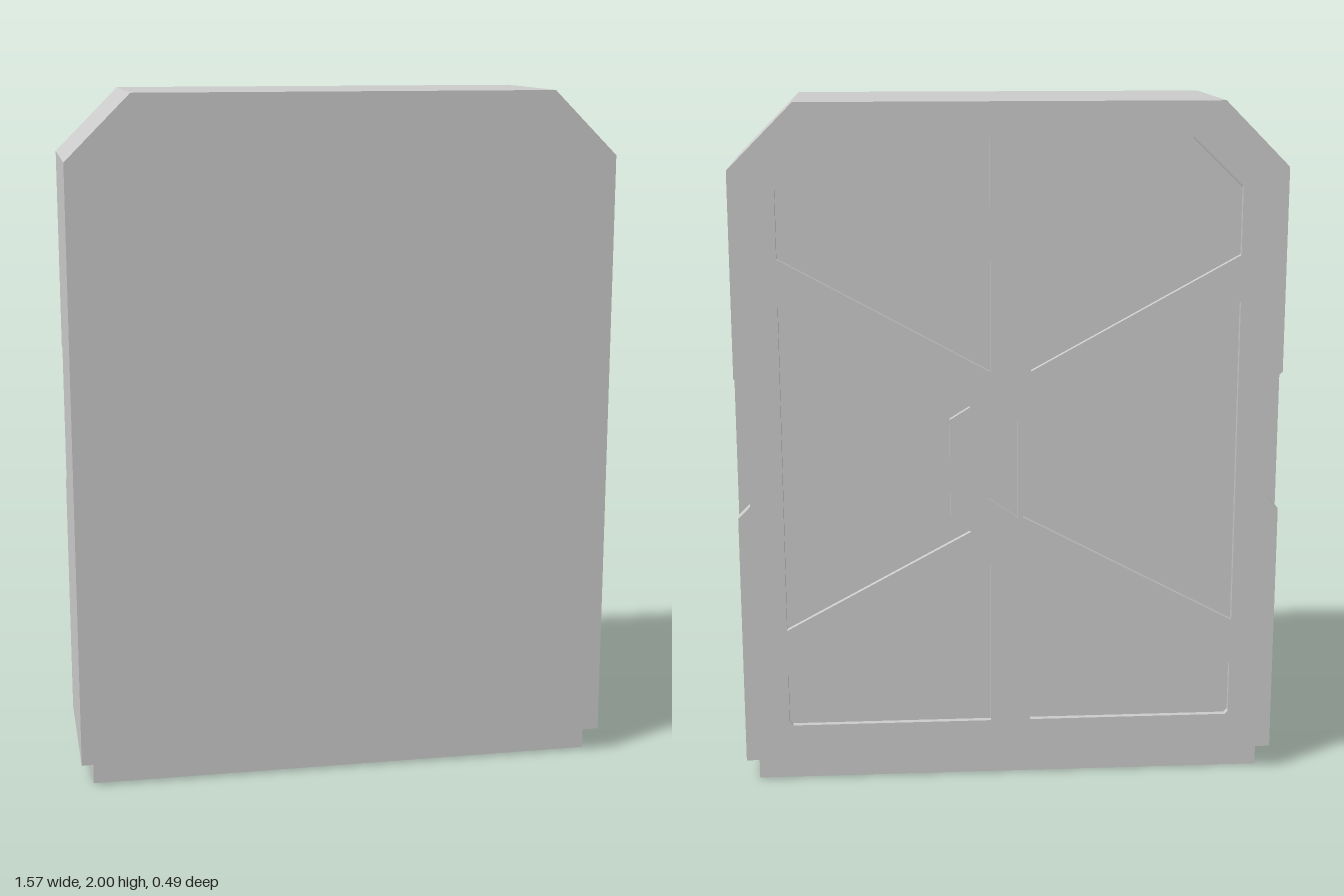
import * as THREE from 'three';

const material = new THREE.MeshStandardMaterial({ color: 0xcccccc, flatShading: true });

const W = 0.785, TOP = 2, SHOULDER = 1.815, SHOULDER_X = 0.6, BOTTOM = 0.073;
const BASE_X = 0.75, BASE_Z = 0.205, CAVITY_TOP = 0.15;

const toPoints = (list) => list.map(([x, y]) => new THREE.Vector2(x, y));
const mirrorX = (list) => list.map(([x, y]) => [-x, y]).reverse();

// Symmetric outline of the case from its right half, listed bottom to top
function outline(rightHalf) {
  return new THREE.Shape(toPoints([...rightHalf, ...mirrorX(rightHalf)]));
}

// Slab of a shape between two depths
function slab(name, shape, zBack, zFront) {
  const geometry = new THREE.ExtrudeGeometry(shape, { depth: zFront - zBack, bevelEnabled: false });
  geometry.translate(0, 0, zBack);
  const mesh = new THREE.Mesh(geometry, material);
  mesh.name = name;
  return mesh;
}

export function createModel() {
  const group = new THREE.Group();
  group.name = 'case';

  const upper = [[W, SHOULDER], [SHOULDER_X, TOP]];
  const plain = [[W, BOTTOM], ...upper];
  // Middle slab has a slot for the cavity in the underside
  const slotted = [[BASE_X, CAVITY_TOP], [BASE_X, BOTTOM], ...plain];
  // Rear slabs have a grip notch in each side
  const notched = [[W, BOTTOM], [W, 0.82], [W - 0.035, 0.855], [W - 0.035, 1.195], [W, 1.23], ...upper];

  group.add(slab('frontShell', outline(plain), BASE_Z, 0.243));
  group.add(slab('middleShell', outline(slotted), -0.2, BASE_Z));
  group.add(slab('rearShell', outline(notched), -0.225, -0.2));

  // Ribbed back: a plate with openings that leave crossing ribs
  const upperPanel = [[0.058, 1.9], [0.51, 1.9], [0.655, 1.76], [0.655, 1.568], [0.058, 1.24]];
  const lowerPanel = [[0.058, 0.18], [0.645, 0.18], [0.655, 0.19], [0.655, 0.342], [0.058, 0.67]];
  const leftPanel = [
    [0.655, 1.434], [0.115, 1.139], [0.175, 1.102],
    [0.175, 0.808], [0.115, 0.767], [0.655, 0.476],
  ];
  const rightPanel = [[-0.657, 1.434], [-0.036, 1.097], [-0.036, 0.808], [-0.657, 0.478]];
  const hubPanel = [[-0.02, 1.1], [0.067, 1.026], [0.067, 0.867], [-0.02, 0.806]];
  const backShape = outline(notched);
  for (const panel of [
    upperPanel, mirrorX(upperPanel), lowerPanel, mirrorX(lowerPanel),
    leftPanel, rightPanel, hubPanel,
  ]) {
    backShape.holes.push(new THREE.Path(toPoints(panel)));
  }
  group.add(slab('backRibs', backShape, -0.243, -0.225));

  // Thin rim around the open underside
  const rectangle = (x, z) => toPoints([[-x, -z], [x, -z], [x, z], [-x, z]]);
  const rimShape = new THREE.Shape(rectangle(BASE_X, BASE_Z));
  rimShape.holes.push(new THREE.Path(rectangle(BASE_X - 0.004, BASE_Z - 0.004)));
  const rim = slab('baseRim', rimShape, 0, BOTTOM + 0.005);
  rim.geometry.rotateX(-Math.PI / 2);
  group.add(rim);

  return group;
}
